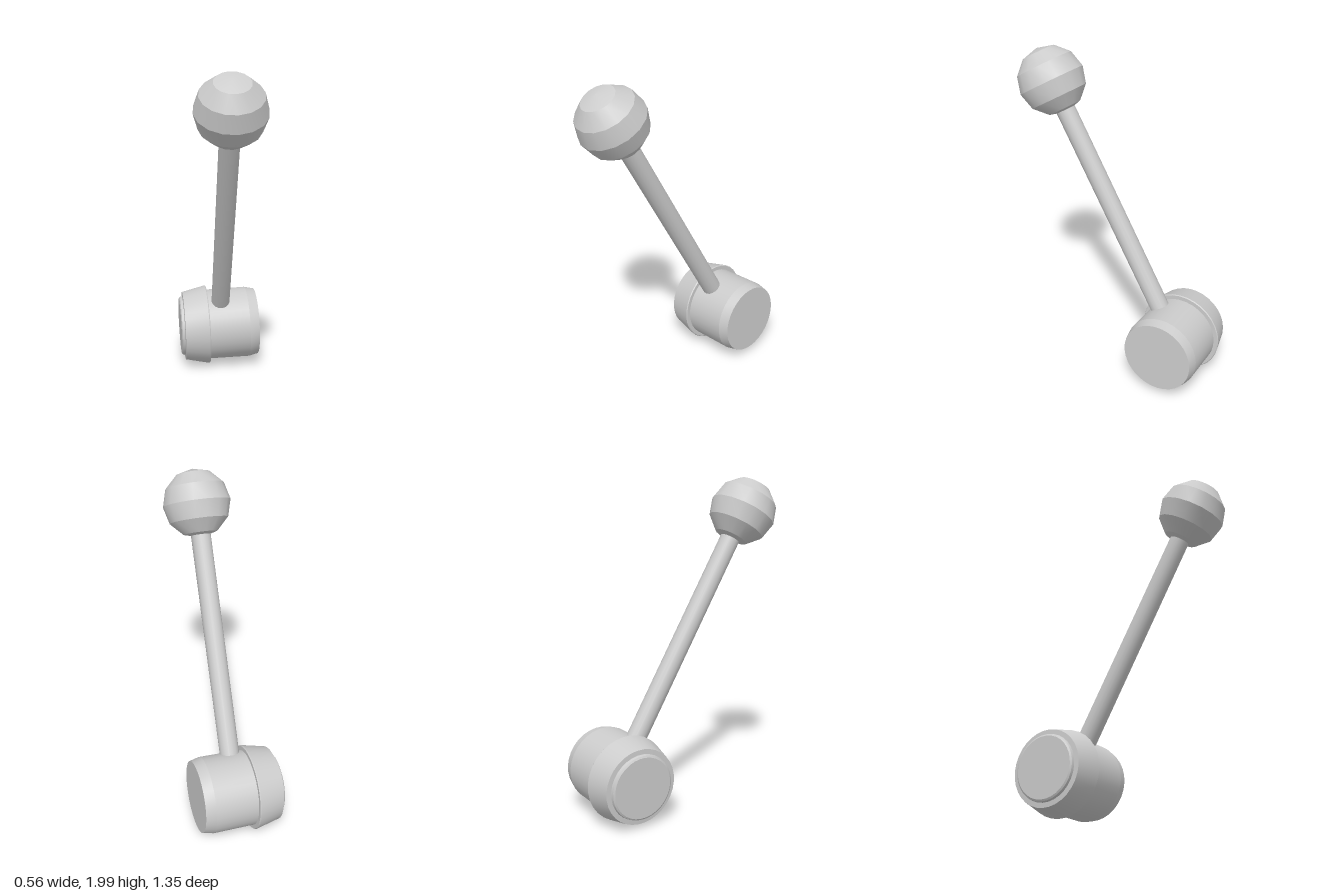
import * as THREE from 'three';
import { toCreasedNormals } from 'three/addons/utils/BufferGeometryUtils.js';

const UP = new THREE.Vector3(0, 1, 0);

export function createModel() {
  const group = new THREE.Group();
  const material = new THREE.MeshStandardMaterial({ color: 0xcccccc });

  const ballCentre = new THREE.Vector3(-0.075, 1.795, 0.47);
  const headCentre = new THREE.Vector3(0.017, 0.272, -0.407);
  const collarCentre = new THREE.Vector3(-0.07, 0.266, -0.412);
  const shaftDir = ballCentre.clone().sub(headCentre).normalize();
  const headDir = new THREE.Vector3(1, 0.027, 0.07).normalize();

  // Places a part whose own y axis points along dir
  function add(name, geometry, position, dir, crease = 0.5) {
    const mesh = new THREE.Mesh(toCreasedNormals(geometry, crease), material);
    mesh.name = name;
    mesh.position.copy(position);
    mesh.quaternion.setFromUnitVectors(UP, dir);
    group.add(mesh);
  }

  const lathe = (points) =>
    new THREE.LatheGeometry(points.map(([r, t]) => new THREE.Vector2(r, t)), 32);

  // Ball at the free end, its poles in line with the shaft
  add('ballKnob', new THREE.SphereGeometry(0.205, 16, 6), ballCentre, shaftDir);

  // Straight round shaft from the head into the ball
  const length = ballCentre.distanceTo(headCentre);
  add('shaft', new THREE.CylinderGeometry(0.06, 0.06, length, 16),
    headCentre.clone().lerp(ballCentre, 0.5), shaftDir);

  // Main drum of the head with a slightly tapered rim
  add('headDrum', lathe([[0, -0.1], [0.232, -0.1], [0.235, 0.27], [0.221, 0.332], [0, 0.332]]),
    collarCentre, headDir, 0.2);

  // Flared collar with a raised end disc
  add('headCollar', lathe([
    [0, -0.178], [0.184, -0.178], [0.194, -0.172], [0.198, -0.156],
    [0.227, -0.154], [0.262, 0], [0.258, 0.006], [0.23, 0.006],
  ]), collarCentre, headDir, 0.4);

  return group;
}
